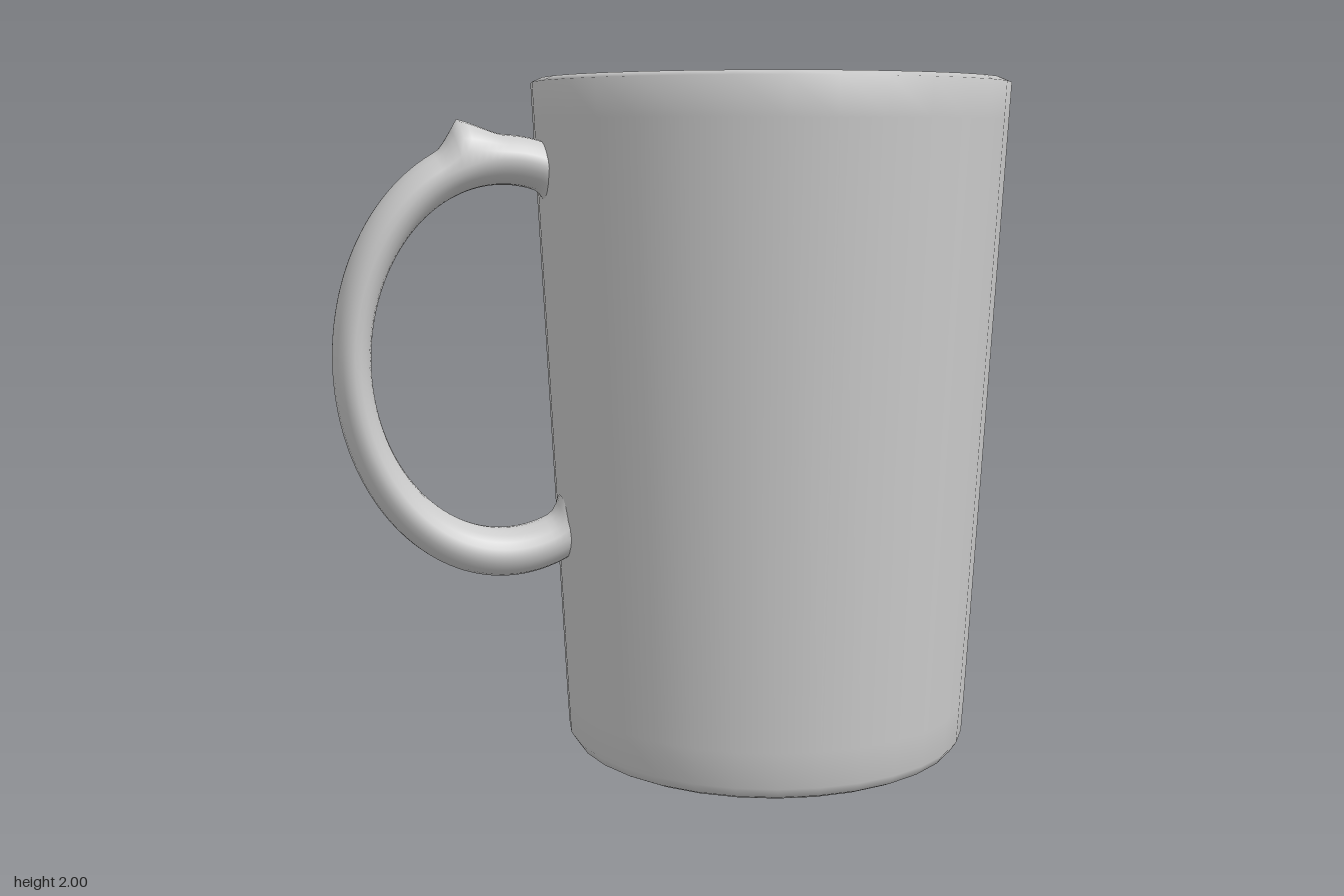
import * as THREE from 'three';
import { mergeVertices } from 'three/addons/utils/BufferGeometryUtils.js';

const material = new THREE.MeshStandardMaterial({ color: 0xcccccc, side: THREE.DoubleSide });
const deg = Math.PI / 180;

// Tapered hollow cup: underside, outer wall, rounded rim, inner wall, floor
function makeCup() {
  const profile = [
    [0, 0], [0.555, 0], [0.585, 0.015], [0.605, 0.045], [0.611, 0.15],
    [0.695, 1.88], [0.7, 1.985], [0.67, 1.998], [0.62, 2], [0.6, 1.985],
    [0.595, 1.9], [0.56, 0.2], [0.55, 0.14], [0.53, 0.11], [0.49, 0.1], [0, 0.1],
  ].map(([r, y]) => new THREE.Vector2(r, y));
  const cup = new THREE.Mesh(new THREE.LatheGeometry(profile, 32), material);
  cup.name = 'cup';
  cup.position.x = 0.29;
  return cup;
}

// Oval loop with a thumb ridge on top and slightly flared ends
function makeHandle() {
  const R = 0.434, tube = 0.054, start = 68, end = 297, ridge = 103.5;
  let geo = new THREE.TorusGeometry(R, tube, 20, 90);
  const pos = geo.attributes.position, uv = geo.attributes.uv;
  for (let i = 0; i < pos.count; i++) {
    const a = start + (end - start) * uv.getX(i);
    const v = uv.getY(i) * Math.PI * 2;
    const side = Math.cos(v);
    // sharp ridge: steep on the far side, gentle toward the cup
    const fall = a > ridge ? (a - ridge) / 8.5 : (ridge - a) / 14;
    const bump = 0.048 * Math.max(0, 1 - fall) ** 1.4 * Math.max(0, side);
    const toEnd = Math.min(a - start, end - a);
    const flare = 0.03 * Math.max(0, 1 - toEnd / 8) ** 2 * Math.max(0, -side);
    const r = R + tube * side + bump - flare;
    pos.setXYZ(i, r * Math.cos(a * deg), r * Math.sin(a * deg) * 1.305, tube * 1.67 * Math.sin(v));
  }
  // weld the seam for smooth shading
  geo.deleteAttribute('normal');
  geo.deleteAttribute('uv');
  geo = mergeVertices(geo, 1e-4);
  geo.computeVertexNormals();
  const handle = new THREE.Mesh(geo, material);
  handle.name = 'handle';
  handle.position.set(-0.505, 1.2, -0.095);
  handle.rotation.y = -0.117;
  return handle;
}

export function createModel() {
  const mug = new THREE.Group();
  mug.name = 'mug';
  mug.add(makeCup(), makeHandle());
  return mug;
}
